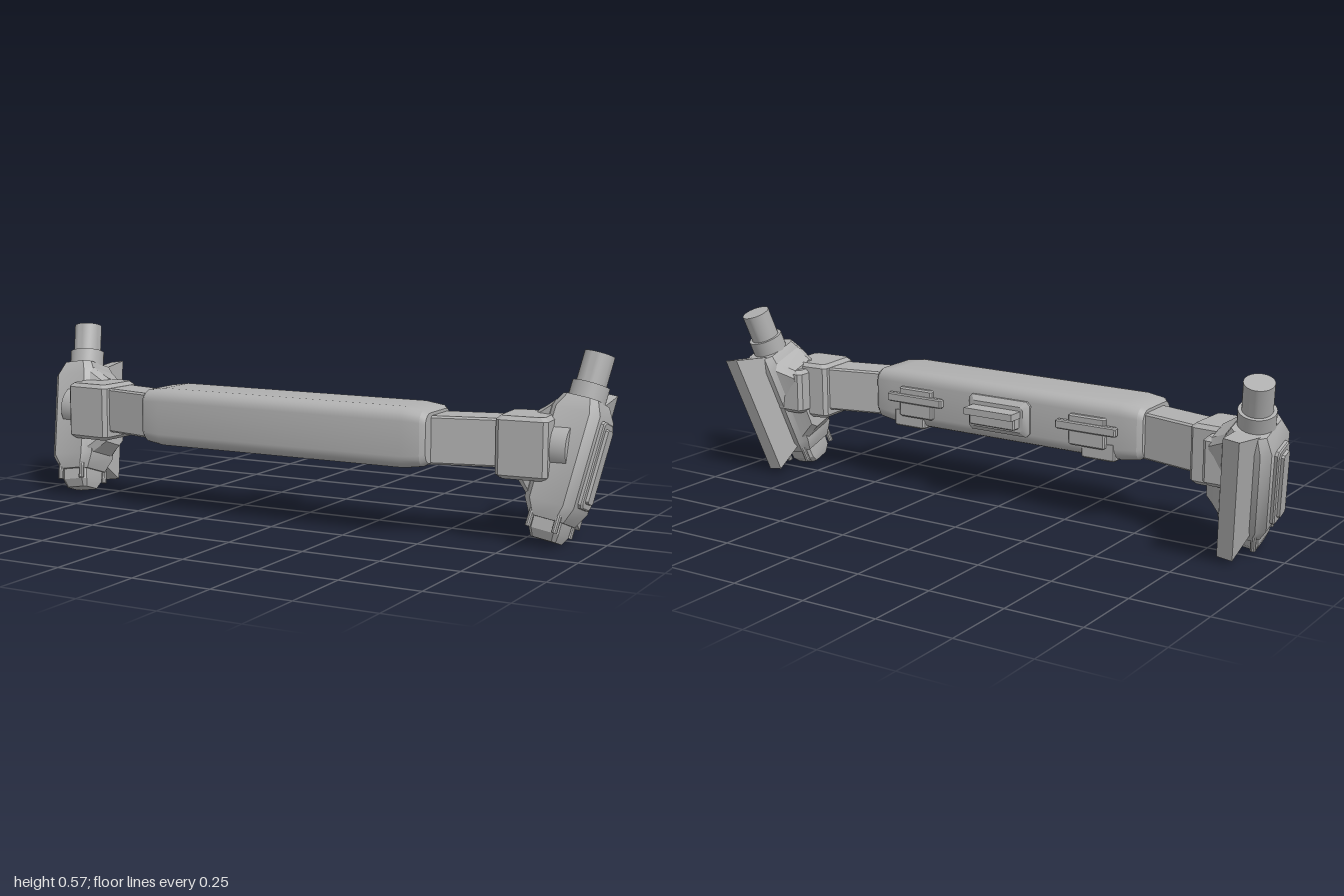
import * as THREE from 'three';
import { toCreasedNormals } from 'three/addons/utils/BufferGeometryUtils.js';

const metal = new THREE.MeshStandardMaterial({ color: 0xb0b0b0 });
metal.name = 'plain grey';

// Rounded rectangle in x/z; n segments per corner (1 = chamfer)
function ring(y, hx, hz, r, n) {
  const pts = [];
  [[1, 1], [-1, 1], [-1, -1], [1, -1]].forEach(([sx, sz], q) => {
    for (let i = 0; i <= n; i++) {
      const a = (q + i / n) * Math.PI / 2;
      pts.push([sx * (hx - r) + r * Math.cos(a), y, sz * (hz - r) + r * Math.sin(a)]);
    }
  });
  return pts;
}

// Capped loft along y through sections [y, halfX, halfZ, cornerRadius]
function loft(sections, n = 1) {
  const rings = sections.map(([y, hx, hz, r]) => ring(y, hx, hz, r, n));
  const count = rings[0].length, pos = [];
  const tri = (...p) => p.forEach(v => pos.push(...v));
  const first = rings[0], last = rings[rings.length - 1];
  for (let i = 0; i < count; i++) {
    const j = (i + 1) % count;
    for (let k = 0; k < rings.length - 1; k++) {
      const a = rings[k][i], b = rings[k][j], c = rings[k + 1][j], d = rings[k + 1][i];
      tri(a, d, b);
      tri(b, d, c);
    }
    tri([0, first[0][1], 0], first[i], first[j]);
    tri([0, last[0][1], 0], last[j], last[i]);
  }
  const g = new THREE.BufferGeometry();
  g.setAttribute('position', new THREE.Float32BufferAttribute(pos, 3));
  return toCreasedNormals(g, 0.5);
}

// Box with bevelled edges
function bevelBox(w, h, d, c) {
  const x = w / 2, y = h / 2, z = d / 2;
  return loft([[-y, x - c, z - c, c], [-y + c, x, z, c], [y - c, x, z, c], [y, x - c, z - c, c]]);
}

function add(parent, name, geometry, p = [0, 0, 0], r = [0, 0, 0]) {
  const m = new THREE.Mesh(geometry, metal);
  m.name = name;
  m.position.set(...p);
  m.rotation.set(...r);
  parent.add(m);
  return m;
}

// Tapered fin: trapezoid in the y/z plane, thinner at its outer edge
function finGeometry() {
  const g = new THREE.BoxGeometry(1, 1, 1).toNonIndexed();
  const p = g.attributes.position;
  for (let i = 0; i < p.count; i++) {
    const outer = p.getZ(i) < 0, top = p.getY(i) > 0;
    p.setXYZ(i, p.getX(i) * (outer ? 0.05 : 0.075),
      outer ? (top ? 0.24 : -0.187) : (top ? 0.185 : -0.15),
      outer ? -0.184 : -0.06);
  }
  g.computeVertexNormals();
  return g;
}

// Tilted end unit, s = side
function endPod(s) {
  const pod = new THREE.Group();
  pod.name = s > 0 ? 'leftPod' : 'rightPod';
  pod.position.set(s * 0.882, 0.253, 0.015);
  pod.rotation.set(-0.314, 0, -s * 0.157);

  add(pod, 'podBody', loft([
    [-0.187, 0.055, 0.072, 0.02], [-0.14, 0.078, 0.09, 0.025],
    [0.14, 0.078, 0.09, 0.025], [0.185, 0.055, 0.074, 0.02]]));
  add(pod, 'neck', toCreasedNormals(new THREE.CylinderGeometry(0.057, 0.057, 0.075, 32), 0.5), [0, 0.196, 0]);
  add(pod, 'post', toCreasedNormals(new THREE.CylinderGeometry(0.046, 0.046, 0.11, 32), 0.5), [0, 0.272, 0]);
  add(pod, 'fin', finGeometry());

  // Stacked panels on the outer face
  const out = [0, 0, -s * Math.PI / 2];
  add(pod, 'panelFrame', loft([[0, 0.132, 0.042, 0.01], [0.012, 0.132, 0.042, 0.01], [0.016, 0.128, 0.038, 0.01]]),
    [s * 0.075, 0, 0], out);
  add(pod, 'panelInset', loft([[0, 0.114, 0.023, 0.006], [0.012, 0.112, 0.021, 0.006]]), [s * 0.088, 0, 0], out);

  // Mounting pads on the inner face
  add(pod, 'mountPad', loft([[0, 0.15, 0.078, 0.02], [0.03, 0.125, 0.066, 0.02], [0.05, 0.11, 0.06, 0.02]]),
    [-s * 0.07, 0.01, 0], [0, 0, s * Math.PI / 2]);

  // Bottom plug with four corner pins
  add(pod, 'plug', loft([[-0.247, 0.04, 0.038, 0.01], [-0.222, 0.048, 0.056, 0.012], [-0.17, 0.048, 0.06, 0.012]]));
  for (const x of [-1, 1]) for (const z of [-1, 1]) {
    add(pod, 'pin', toCreasedNormals(new THREE.CylinderGeometry(0.009, 0.009, 0.07, 10), 0.8),
      [x * 0.042, -0.187, z * 0.068]);
  }
  return pod;
}

export function createModel() {
  const model = new THREE.Group();
  model.name = 'twinPodHandle';

  // Main grip
  add(model, 'grip', loft([
    [-0.505, 0.076, 0.09, 0.034], [-0.49, 0.085, 0.102, 0.036], [-0.43, 0.093, 0.111, 0.04],
    [0.43, 0.093, 0.111, 0.04], [0.49, 0.085, 0.102, 0.036], [0.505, 0.076, 0.09, 0.034]], 5),
  [0, 0.312, 0.122], [0, 0, -Math.PI / 2]);

  // Central rear mount: stepped base and rail
  const back = [-Math.PI / 2, 0, 0];
  add(model, 'rearBase', loft([[0, 0.115, 0.058, 0.012], [0.025, 0.115, 0.058, 0.012], [0.04, 0.098, 0.042, 0.01]]),
    [0, 0.31, 0.028], back);
  add(model, 'rearBlock', bevelBox(0.17, 0.05, 0.035, 0.004), [0, 0.305, -0.025]);
  add(model, 'rearRail', new THREE.BoxGeometry(0.18, 0.022, 0.06), [0, 0.328, -0.036]);

  for (const s of [-1, 1]) {
    // Rear clips
    const x = s * 0.325;
    add(model, 'clipBase', bevelBox(0.13, 0.1, 0.025, 0.005), [x, 0.305, 0.008]);
    add(model, 'clipBar', bevelBox(0.215, 0.03, 0.022, 0.004), [x, 0.318, -0.002]);
    add(model, 'clipFoot', bevelBox(0.12, 0.06, 0.1, 0.005), [s * 0.36, 0.246, 0.06]);

    // Angled arm and coupler
    add(model, 'arm', bevelBox(0.3, 0.147, 0.122, 0.006), [s * 0.6, 0.305, 0.087], [0, s * 0.235, 0]);
    add(model, 'coupler', bevelBox(0.16, 0.188, 0.172, 0.012), [s * 0.773, 0.297, 0.06], [0, s * 0.06, 0]);
    add(model, 'couplerStep', bevelBox(0.11, 0.15, 0.13, 0.012), [s * 0.81, 0.297, -0.01]);
    add(model, 'hub', toCreasedNormals(new THREE.CylinderGeometry(0.07, 0.07, 0.07, 24), 0.5),
      [s * 0.87, 0.295, 0.048], [0, 0, Math.PI / 2]);
    model.add(endPod(s));
  }
  return model;
}
